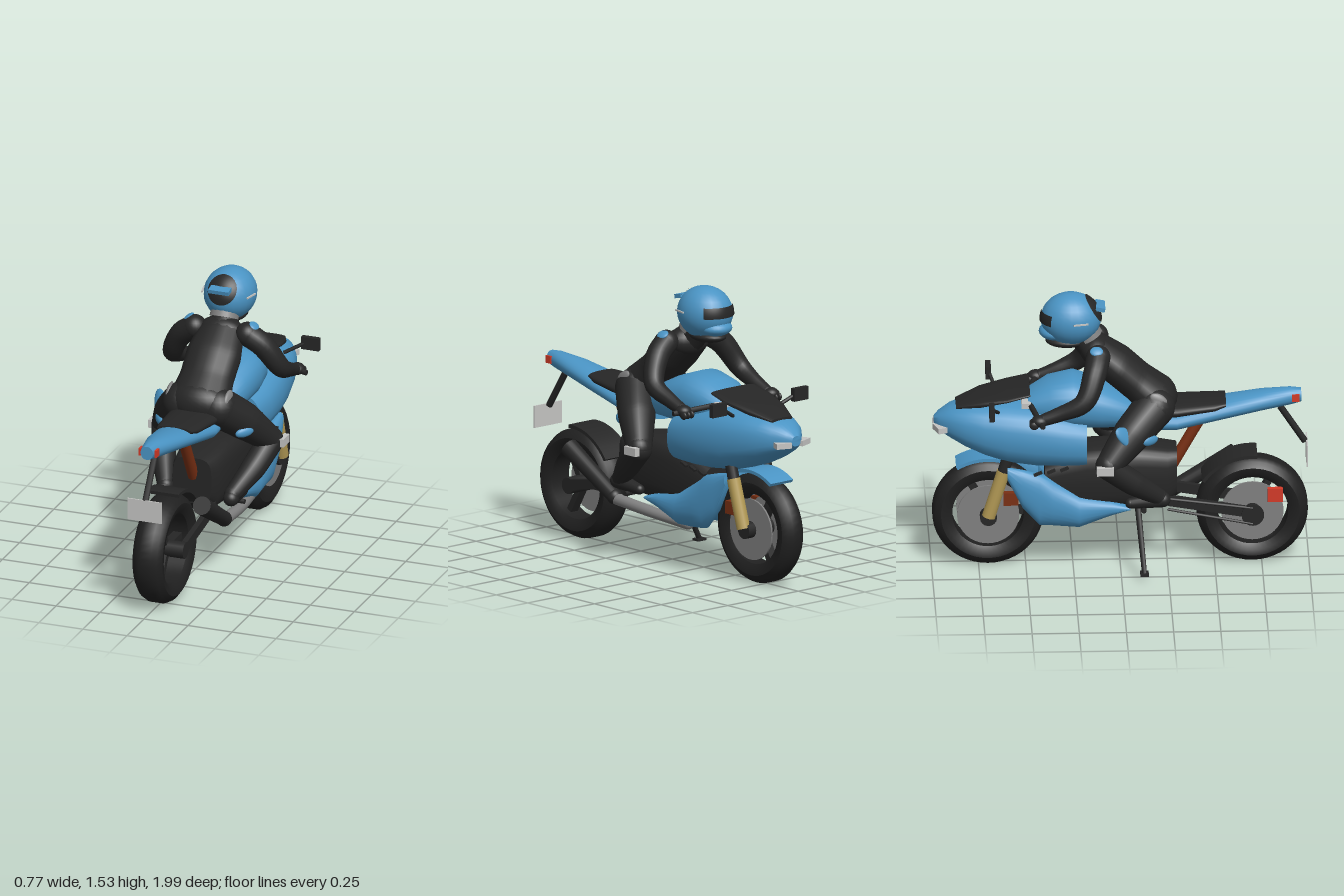
import * as THREE from 'three';
import { toCreasedNormals } from 'three/addons/utils/BufferGeometryUtils.js';

const colours = {
  blue: 0x4a94c4, black: 0x262626, tyreBlack: 0x202020, grey: 0x808080,
  silver: 0xc4c4c2, gold: 0xb39a55, red: 0xd43a28, rust: 0x7a3014,
};
const M = {};
for (const [name, color] of Object.entries(colours)) {
  M[name] = new THREE.MeshStandardMaterial({ color });
  M[name].name = name;
}
const V = (p) => new THREE.Vector3(...p);

export function createModel() {
  const root = new THREE.Group();
  root.name = 'motorcycleWithRider';

  const add = (name, geo, mat, pos = [0, 0, 0], rot = [0, 0, 0]) => {
    const m = new THREE.Mesh(geo, mat);
    m.name = name;
    m.position.set(...pos);
    m.rotation.set(...rot);
    root.add(m);
    return m;
  };
  const box = (name, size, mat, pos, rot) => add(name, new THREE.BoxGeometry(...size), mat, pos, rot);
  const ball = (name, scale, mat, pos, rot) =>
    add(name, new THREE.SphereGeometry(1, 24, 16).scale(...scale), mat, pos, rot);

  // Straight rod between two points
  const rod = (name, a, b, ra, rb, mat, sides = 16) => {
    const A = V(a), B = V(b), d = B.clone().sub(A);
    const m = add(name, new THREE.CylinderGeometry(rb, ra, d.length(), sides), mat);
    m.position.copy(A).add(B).multiplyScalar(0.5);
    m.quaternion.setFromUnitVectors(new THREE.Vector3(0, 1, 0), d.normalize());
    return m;
  };

  // Closed body through sections [z, bottom, top, halfWidth, centreX], listed from rear to nose
  const loft = (name, sections, mat, power = 0.85, n = 28) => {
    const pos = [], idx = [];
    const sp = (v) => Math.sign(v) * Math.abs(v) ** power;
    for (const [z, yb, yt, hw, cx = 0] of sections)
      for (let j = 0; j < n; j++) {
        const a = (j / n) * Math.PI * 2;
        pos.push(cx + hw * sp(Math.cos(a)), (yb + yt) / 2 + ((yt - yb) / 2) * sp(Math.sin(a)), z);
      }
    const last = sections.length - 1;
    for (let i = 0; i < last; i++)
      for (let j = 0; j < n; j++) {
        const k = (j + 1) % n, a = i * n, b = a + n;
        idx.push(a + j, b + j, a + k, a + k, b + j, b + k);
      }
    for (let j = 1; j < n - 1; j++) idx.push(0, j, j + 1, last * n, last * n + j + 1, last * n + j);
    const g = new THREE.BufferGeometry();
    g.setAttribute('position', new THREE.Float32BufferAttribute(pos, 3));
    g.setIndex(idx);
    return add(name, toCreasedNormals(g, 0.7), mat);
  };

  // Round limb with changing radius along a curve, closed by balls; sx widens it
  const limb = (name, pts, radii, mat, sx = 1) => {
    const curve = new THREE.CatmullRomCurve3(pts.map(V));
    const seg = 20, ring = 16;
    const g = new THREE.TubeGeometry(curve, seg, 1, ring);
    const p = g.attributes.position, q = new THREE.Vector3();
    for (let i = 0; i <= seg; i++) {
      const c = curve.getPointAt(i / seg), t = (i / seg) * (radii.length - 1);
      const f = Math.min(Math.floor(t), radii.length - 2);
      const r = THREE.MathUtils.lerp(radii[f], radii[f + 1], t - f);
      for (let j = 0; j <= ring; j++) {
        const k = i * (ring + 1) + j;
        q.fromBufferAttribute(p, k).sub(c).multiplyScalar(r);
        p.setXYZ(k, c.x + q.x * sx, c.y + q.y, c.z + q.z);
      }
    }
    add(name, toCreasedNormals(g, 1), mat);
    [0, pts.length - 1].forEach((e) => {
      const r = radii[e ? radii.length - 1 : 0];
      ball(name + 'End', [r * sx, r, r], mat, pts[e]);
    });
  };

  // Wheels
  const wheel = (name, z, w, spin, discs) => {
    const profile = [[0.19, -w * 0.7], [0.22, -w * 0.95], [0.25, -w], [0.28, -w * 0.75], [0.295, -w * 0.4],
      [0.295, w * 0.4], [0.28, w * 0.75], [0.25, w], [0.22, w * 0.95], [0.19, w * 0.7], [0.19, -w * 0.7]];
    const tyre = new THREE.LatheGeometry(profile.map((p) => new THREE.Vector2(...p)), 48).rotateZ(Math.PI / 2);
    add(name + 'Tyre', toCreasedNormals(tyre, 0.6), M.tyreBlack, [0, 0.3, z]);
    for (let i = 0; i < 3; i++) {
      const a = spin + (i * Math.PI * 2) / 3;
      box(name + 'Spoke', [0.05, 0.035, 0.2], M.black,
        [0, 0.3 + Math.sin(a) * 0.1, z - Math.cos(a) * 0.1], [a, 0, 0]);
    }
    rod(name + 'Hub', [-0.12, 0.3, z], [0.12, 0.3, z], 0.045, 0.045, M.black);
    for (const x of discs) rod(name + 'BrakeDisc', [x - 0.005, 0.3, z], [x + 0.005, 0.3, z], 0.165, 0.165, M.grey, 40);
  };
  wheel('rearWheel', 0.7, 0.085, 0, [-0.06]);
  wheel('frontWheel', -0.7, 0.07, Math.PI / 3, [-0.065, 0.065]);

  // Bodywork
  loft('tail', [[0.96, 0.9, 0.975, 0.035], [0.9, 0.885, 0.98, 0.05], [0.75, 0.86, 0.965, 0.085],
    [0.55, 0.82, 0.93, 0.112], [0.3, 0.77, 0.88, 0.14], [0.05, 0.76, 0.87, 0.12]], M.blue, 0.95);
  loft('seat', [[0.56, 0.9, 0.935, 0.098], [0.5, 0.875, 0.935, 0.115], [0.3, 0.85, 0.925, 0.137],
    [0.08, 0.82, 0.92, 0.12]], M.black);
  loft('tank', [[0.14, 0.82, 0.89, 0.08], [0.05, 0.79, 0.96, 0.135], [-0.1, 0.785, 1.03, 0.165],
    [-0.25, 0.79, 1.08, 0.18], [-0.38, 0.82, 1.05, 0.165], [-0.49, 0.85, 0.98, 0.12]], M.blue);
  loft('fairing', [[-0.18, 0.58, 0.87, 0.2], [-0.3, 0.58, 0.9, 0.22], [-0.45, 0.585, 0.935, 0.225],
    [-0.6, 0.605, 0.945, 0.21], [-0.72, 0.645, 0.94, 0.19], [-0.82, 0.69, 0.93, 0.16],
    [-0.9, 0.735, 0.905, 0.115], [-0.96, 0.77, 0.87, 0.06], [-0.985, 0.79, 0.845, 0.03]], M.blue, 0.8);
  loft('engine', [[0.3, 0.4, 0.66, 0.11], [0.25, 0.35, 0.665, 0.13], [0.1, 0.345, 0.69, 0.15],
    [-0.18, 0.33, 0.68, 0.155], [-0.4, 0.35, 0.59, 0.13]], M.black, 0.55);
  loft('windscreen', [[-0.48, 1.0, 1.025, 0.155], [-0.6, 0.965, 1.0, 0.16], [-0.74, 0.925, 0.975, 0.13],
    [-0.87, 0.905, 0.925, 0.075]], M.black, 0.7);

  // Mudguards bent over the tyres
  const guard = (name, z, r, w, from, len, mat) => {
    const s = new THREE.Shape();
    s.absarc(0, 0, r, from, from + len, false);
    s.absarc(0, 0, r - 0.018, from + len, from, true);
    const g = new THREE.ExtrudeGeometry(s, { depth: w * 2, bevelEnabled: false, curveSegments: 14 });
    g.translate(0, 0, -w).rotateY(Math.PI / 2);
    add(name, toCreasedNormals(g, 0.5), mat, [0, 0.3, z]);
  };
  guard('frontMudguard', -0.7, 0.325, 0.08, 1.02, 0.95, M.blue);
  guard('rearMudguard', 0.7, 0.325, 0.09, 0.6, 1.05, M.black);

  // Exhaust on the right-hand side of the bike
  limb('exhaustPipe', [[0.12, 0.26, -0.26], [0.16, 0.29, 0], [0.17, 0.315, 0.25]], [0.03, 0.03, 0.032], M.grey);
  rod('muffler', [0.17, 0.325, 0.27], [0.18, 0.535, 0.62], 0.04, 0.05, M.black, 20);
  ball('mufflerElbow', [0.042, 0.042, 0.042], M.black, [0.17, 0.325, 0.27]);

  // Rear suspension, plate and stand
  rod('shock', [0, 0.8, 0.42], [0, 0.55, 0.28], 0.03, 0.03, M.rust);
  rod('plateBracket', [0, 0.87, 0.85], [0, 0.67, 0.98], 0.018, 0.018, M.black, 8);
  box('numberPlate', [0.195, 0.12, 0.008], M.silver, [0, 0.62, 0.99]);
  rod('kickstand', [-0.12, 0.37, 0.09], [-0.3, 0.045, 0.12], 0.018, 0.014, M.black, 8);
  box('kickstandFoot', [0.06, 0.012, 0.045], M.black, [-0.3, 0.046, 0.12]);
  rod('chainTop', [-0.125, 0.34, 0.7], [-0.125, 0.4, 0.25], 0.008, 0.008, M.black, 6);
  rod('chainBottom', [-0.125, 0.25, 0.7], [-0.125, 0.34, 0.25], 0.008, 0.008, M.black, 6);
  rod('sprocket', [-0.118, 0.3, 0.7], [-0.13, 0.3, 0.7], 0.06, 0.06, M.black, 20);
  box('rearCaliper', [0.03, 0.075, 0.08], M.red, [-0.085, 0.4, 0.82]);

  // Rider body and helmet
  limb('torso', [[0, 0.94, 0.19], [0, 1.03, 0.09], [0, 1.13, -0.02], [0, 1.22, -0.13]], [0.115, 0.1, 0.102, 0.085], M.black, 1.5);
  limb('neck', [[0, 1.22, -0.13], [0, 1.27, -0.18], [0, 1.32, -0.22]], [0.085, 0.075, 0.07], M.black);
  rod('collar', [0, 1.285, -0.165], [0, 1.315, -0.18], 0.078, 0.076, M.grey, 24);
  const head = [0, 1.395, -0.26], headSize = [0.14, 0.142, 0.16];
  ball('helmet', headSize, M.blue, head);
  add('visor', new THREE.SphereGeometry(1.035, 28, 6, Math.PI * 1.5 - 0.85, 1.7, 1.22, 0.4).scale(...headSize), M.black, head);
  add('helmetRearPatch', new THREE.SphereGeometry(1.03, 24, 8, 0, Math.PI * 2, 0, 0.6).rotateX(1.08).scale(...headSize), M.black, head);
  box('helmetSpoiler', [0.115, 0.022, 0.05], M.blue, [0, 1.462, -0.105], [0.2, 0, 0]);
  ball('helmetChin', [0.09, 0.045, 0.085], M.blue, [0, 1.325, -0.345]);
  ball('chinCurtain', [0.085, 0.035, 0.115], M.black, [0, 1.272, -0.28]);

  for (const s of [-1, 1]) {
    // Lower fairing, fork, swingarm and lamps
    loft('bellyPan', [[0.05, 0.345, 0.365, 0.04, s * 0.12], [-0.05, 0.31, 0.4, 0.07, s * 0.1],
      [-0.22, 0.245, 0.435, 0.09, s * 0.1], [-0.36, 0.255, 0.52, 0.095, s * 0.1], [-0.43, 0.27, 0.56, 0.05, s * 0.14],
      [-0.52, 0.37, 0.585, 0.04, s * 0.145], [-0.6, 0.53, 0.6, 0.025, s * 0.145]], M.blue);
    rod('fork', [s * 0.12, 0.57, -0.62], [s * 0.12, 0.31, -0.7], 0.036, 0.036, M.gold);
    rod('forkCap', [s * 0.12, 0.64, -0.6], [s * 0.12, 0.57, -0.62], 0.032, 0.032, M.black);
    box('frontCaliper', [0.035, 0.07, 0.08], M.rust, [s * 0.09, 0.4, -0.58]);
    box('swingarm', [0.03, 0.055, 0.46], M.black, [s * 0.105, 0.345, 0.48], [0.17, 0, 0]);
    box('tailLight', [0.012, 0.04, 0.04], M.red, [s * 0.046, 0.935, 0.93]);
    box('headlight', [0.085, 0.03, 0.05], M.silver, [s * 0.07, 0.8, -0.955], [0, -s * 0.35, 0]);
    for (let i = 0; i < 3; i++)
      box('vent', [0.02, 0.012, 0.045], M.black, [s * 0.185, 0.603 - i * 0.012, -0.3 - i * 0.07], [-0.4, 0, 0]);

    // Controls and mirrors
    rod('handlebar', [s * 0.1, 0.945, -0.48], [s * 0.37, 0.925, -0.42], 0.015, 0.015, M.black, 10);
    box('barClamp', [0.075, 0.03, 0.05], M.silver, [s * 0.095, 0.945, -0.5]);
    rod('mirrorStalk', [s * 0.15, 0.92, -0.65], [s * 0.26, 0.98, -0.685], 0.01, 0.01, M.black, 8);
    box('mirror', [0.1, 0.07, 0.028], M.black, [s * 0.29, 0.98, -0.688]);

    // Arms
    limb('arm', [[s * 0.15, 1.23, -0.12], [s * 0.23, 1.17, -0.14], [s * 0.305, 1.035, -0.2], [s * 0.305, 0.97, -0.33],
      [s * 0.305, 0.94, -0.41]], [0.065, 0.062, 0.055, 0.043, 0.033], M.black);
    ball('hand', [0.042, 0.032, 0.045], M.black, [s * 0.31, 0.935, -0.435]);
    for (let i = 0; i < 3; i++)
      ball('finger', [0.012, 0.022, 0.025], M.black, [s * (0.285 + i * 0.026), 0.918, -0.465]);
    ball('shoulderPatch', [0.03, 0.012, 0.035], M.blue, [s * 0.185, 1.277, -0.13], [0, 0, -s * 0.6]);

    // Legs
    limb('thigh', [[s * 0.1, 0.92, 0.18], [s * 0.2, 0.81, 0.06], [s * 0.3, 0.67, -0.07]], [0.11, 0.1, 0.07], M.black);
    limb('shin', [[s * 0.3, 0.66, -0.07], [s * 0.255, 0.55, 0.06], [s * 0.19, 0.44, 0.2]], [0.07, 0.066, 0.045], M.black);
    limb('boot', [[s * 0.19, 0.425, 0.22], [s * 0.19, 0.415, 0.13], [s * 0.19, 0.405, 0.05]], [0.042, 0.037, 0.028], M.black);
    rod('footPeg', [s * 0.12, 0.375, 0.12], [s * 0.23, 0.375, 0.12], 0.014, 0.014, M.black, 8);
    box('kneeSlider', [0.03, 0.045, 0.09], M.silver, [s * 0.37, 0.665, -0.09]);
    ball('thighPatch', [0.02, 0.028, 0.055], M.blue, [s * 0.24, 0.785, 0.15], [0.1, -s * 0.7, 0]);
    ball('hipPatch', [0.014, 0.028, 0.05], M.grey, [s * 0.168, 0.99, 0.2], [0.5, 0, s * 0.3]);
    box('helmetVent', [0.008, 0.008, 0.08], M.silver, [s * 0.137, 1.41, -0.21], [0, -s * 0.2, 0]);
  }
  // Larger panel on the left thigh
  ball('leftThighPanel', [0.05, 0.02, 0.11], M.blue, [-0.275, 0.81, 0.04], [0.75, 0.45, 0.7]);
  return root;
}
